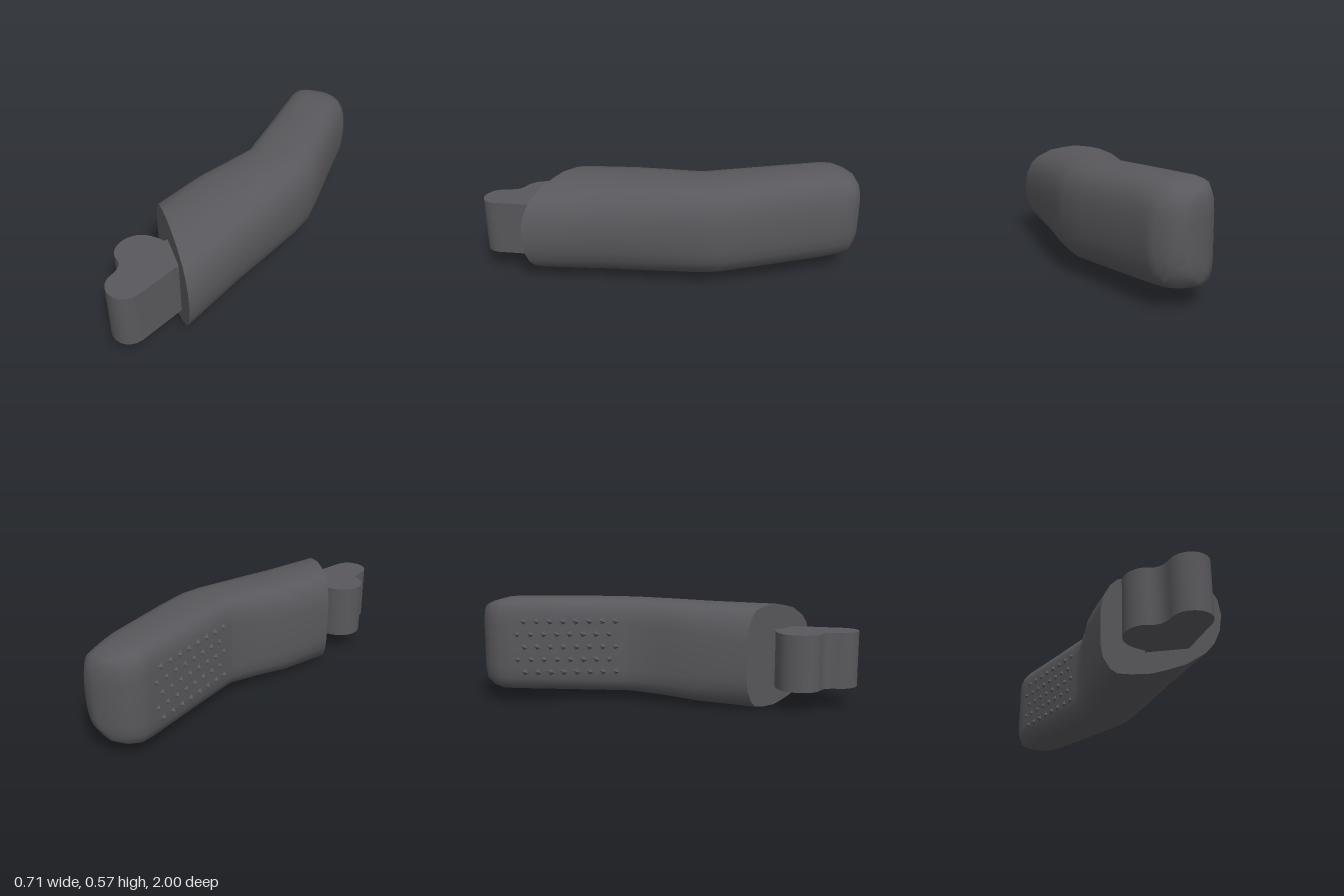
import * as THREE from 'three';
import { toCreasedNormals } from 'three/addons/utils/BufferGeometryUtils.js';

const gray = new THREE.MeshStandardMaterial({ color: 0x59585c });
gray.name = 'dark gray plastic';

// Upper half of each cross-section, from the inner side (u = 0) to the outer side (u = 1)
const roundHalf = [[0, .5], [0, .68], [.02, .8], [.08, .92], [.14, .97], [.25, .99], [.42, 1],
  [.56, .975], [.7, .94], [.86, .85], [.93, .77], [.98, .65], [1, .5]];
const boxyHalf = [[0, .5], [0, .75], [.01, .86], [.06, .95], [.14, .985], [.28, 1], [.5, 1],
  [.66, .985], [.8, .945], [.9, .87], [.96, .78], [.99, .66], [1, .5]];

// Full closed section, blended from round (0) to boxy (1)
function section(blend) {
  const half = roundHalf.map(([u, v], i) =>
    [u + (boxyHalf[i][0] - u) * blend, v + (boxyHalf[i][1] - v) * blend]);
  const lower = half.slice(1, -1).reverse().map(([u, v]) => [u, 1 - v]);
  return [...half, ...lower];
}

// Stations front to back: inner x, z, outer x, z, bottom y, top y, blend
const stations = [
  [-.16, .465, .355, .725, .003, .545, 0],
  [-.165, .18, .31, .33, .02, .55, .4],
  [-.14, .02, .285, .02, .035, .555, .7],
  [-.122, -.16, .268, -.17, .045, .558, .9],
  [-.135, -.2, .247, -.3, .05, .56, 1],
  [-.21, -.42, .18, -.46, .057, .565, 1],
  [-.335, -.77, .025, -.8, .07, .57, 1],
  [-.352, -.83, -.005, -.87, .073, .565, .9],
  [-.338, -.89, -.025, -.92, .085, .55, .8],
  [-.29, -.95, -.05, -.965, .105, .53, .7],
  [-.22, -.99, -.1, -.99, .16, .485, .6],
  [-.2, -1, -.12, -1, .2, .44, .5],
];

function handleGeometry() {
  const positions = [], index = [];
  const n = section(0).length;
  for (const [lx, lz, rx, rz, bottom, top, blend] of stations)
    for (const [u, v] of section(blend))
      positions.push(lx + (rx - lx) * u, bottom + (top - bottom) * v, lz + (rz - lz) * u);
  for (let i = 0; i < stations.length - 1; i++)
    for (let j = 0; j < n; j++) {
      const a = i * n + j, b = i * n + (j + 1) % n;
      index.push(a, b, a + n, b, b + n, a + n);
    }
  // End caps
  [0, stations.length - 1].forEach((s, end) => {
    const [lx, lz, rx, rz, bottom, top] = stations[s];
    const centre = positions.length / 3;
    positions.push((lx + rx) / 2, (bottom + top) / 2, (lz + rz) / 2);
    for (let j = 0; j < n; j++) {
      const a = s * n + j, b = s * n + (j + 1) % n;
      if (end) index.push(centre, a, b);
      else index.push(centre, b, a);
    }
  });
  const g = new THREE.BufferGeometry();
  g.setAttribute('position', new THREE.Float32BufferAttribute(positions, 3));
  g.setIndex(index);
  return toCreasedNormals(g, 0.75);
}

// Two-lobed upright block, drawn in plan as (x, -z)
function connectorGeometry() {
  const s = new THREE.Shape();
  s.moveTo(.03, -.5);
  s.lineTo(.03, -.58);
  s.bezierCurveTo(-.04, -.59, -.12, -.62, -.12, -.715);
  s.bezierCurveTo(-.12, -.77, -.08, -.82, -.03, -.825);
  s.bezierCurveTo(.015, -.835, .03, -.87, .035, -.91);
  s.bezierCurveTo(.05, -1.03, .225, -1.03, .225, -.91);
  s.lineTo(.21, -.58);
  s.closePath();
  const g = new THREE.ExtrudeGeometry(s, { depth: .293, bevelEnabled: false, curveSegments: 10 });
  g.rotateX(-Math.PI / 2);
  g.translate(0, .115, 0);
  return toCreasedNormals(g, 0.7);
}

export function createModel() {
  const model = new THREE.Group();
  const add = (geometry, name, parent = model) => {
    const mesh = new THREE.Mesh(geometry, gray);
    mesh.name = name;
    parent.add(mesh);
    return mesh;
  };

  add(handleGeometry(), 'handle');
  add(connectorGeometry(), 'connector');

  // Small raised grip teeth on the inner side of the rear half
  const grip = new THREE.Group();
  grip.name = 'gripTeeth';
  model.add(grip);
  const tooth = toCreasedNormals(new THREE.ConeGeometry(.022, .016, 4), 0.3);
  const outward = new THREE.Vector3(-.94, 0, .34).normalize();
  for (let row = 0; row < 5; row++)
    for (let col = 0; col < 8; col++) {
      const t = .08 + (col + (row % 2) * .5) * .115;
      const m = add(tooth, 'gripTooth', grip);
      m.position.set(-.135 - .2 * t, .175 + row * .068, -.2 - .57 * t).addScaledVector(outward, .004);
      m.quaternion.setFromUnitVectors(new THREE.Vector3(0, 1, 0), outward);
    }
  return model;
}
